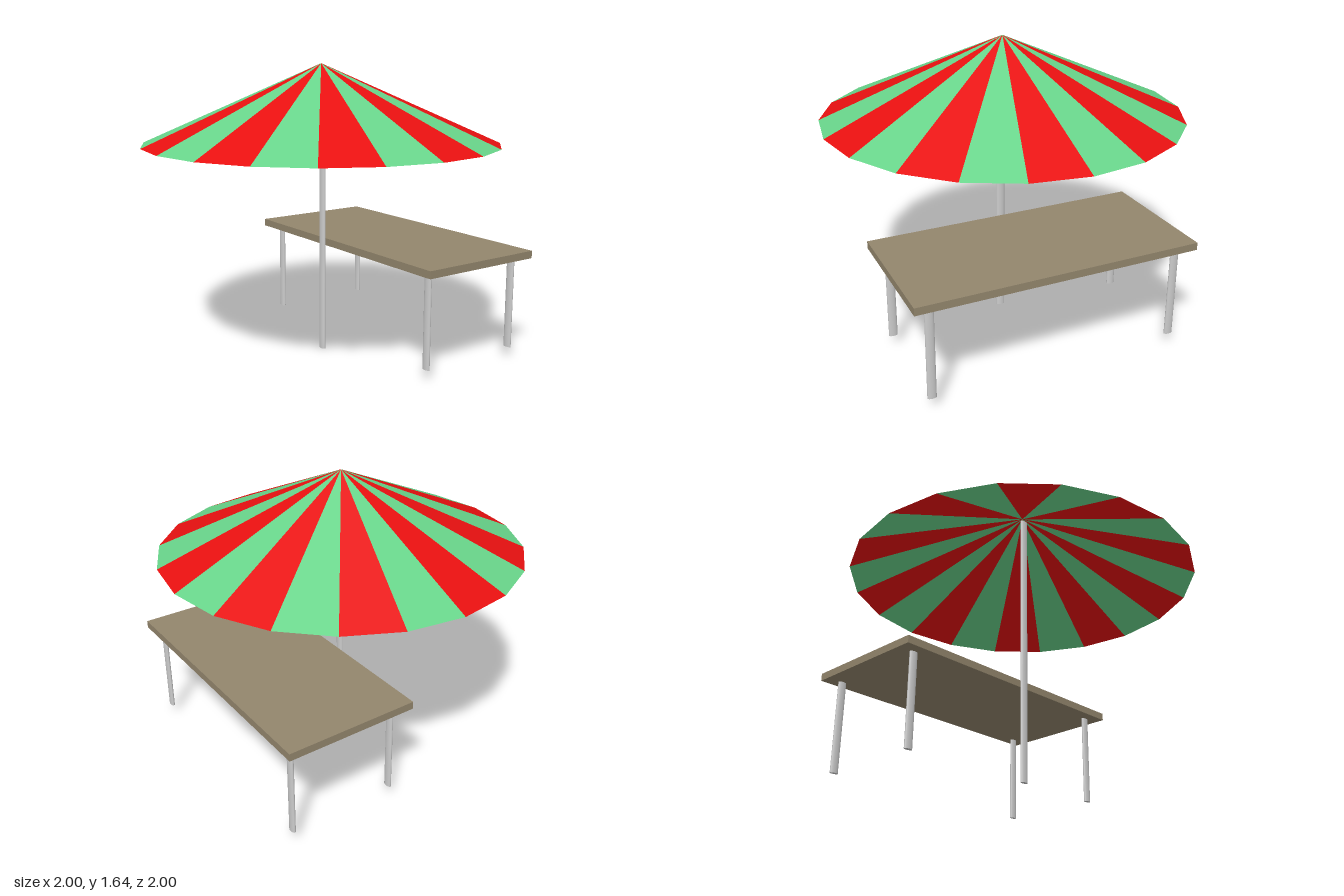
import * as THREE from 'three';

const RED = 0xe81010, GREEN = 0x68d48a, WOOD = 0x93866d, GREY = 0xcccccc;

// Upright post with an oval section, standing from y0 to y1
function post(name, x, z, y0, y1, material) {
  const geometry = new THREE.CylinderGeometry(1, 1, y1 - y0, 16);
  geometry.scale(0.0125, 1, 0.025);
  const mesh = new THREE.Mesh(geometry, material);
  mesh.name = name;
  mesh.position.set(x, (y0 + y1) / 2, z);
  return mesh;
}

// Shallow cone of alternating coloured panels, open underneath
function createCanopy() {
  const canopy = new THREE.Group();
  canopy.name = 'canopy';
  const panels = 20, rimY = 1.205, height = 0.44, step = (Math.PI * 2) / panels;
  const materials = [RED, GREEN].map((color) =>
    new THREE.MeshStandardMaterial({ color, flatShading: true, side: THREE.DoubleSide }));
  for (let i = 0; i < panels; i++) {
    const geometry = new THREE.ConeGeometry(1, height, 1, 1, true, i * step, step);
    const panel = new THREE.Mesh(geometry, materials[i % 2]);
    panel.name = 'canopyPanel';
    panel.position.y = rimY + height / 2;
    canopy.add(panel);
  }
  return canopy;
}

// Long table beside the pole, on four posts
function createTable(metal) {
  const table = new THREE.Group();
  table.name = 'table';
  const top = new THREE.Mesh(
    new THREE.BoxGeometry(0.75, 0.042, 1.588),
    new THREE.MeshStandardMaterial({ color: WOOD }));
  top.name = 'tableTop';
  top.position.set(0.46, 0.609, 0.038);
  table.add(top);
  for (const x of [0.157, 0.772]) {
    for (const z of [0.738, -0.658]) table.add(post('tableLeg', x, z, 0.063, 0.59, metal));
  }
  return table;
}

export function createModel() {
  const model = new THREE.Group();
  model.name = 'parasolAndTable';
  const metal = new THREE.MeshStandardMaterial({ color: GREY });
  model.add(createCanopy(), post('pole', 0, 0.013, 0, 1.63, metal), createTable(metal));
  return model;
}
